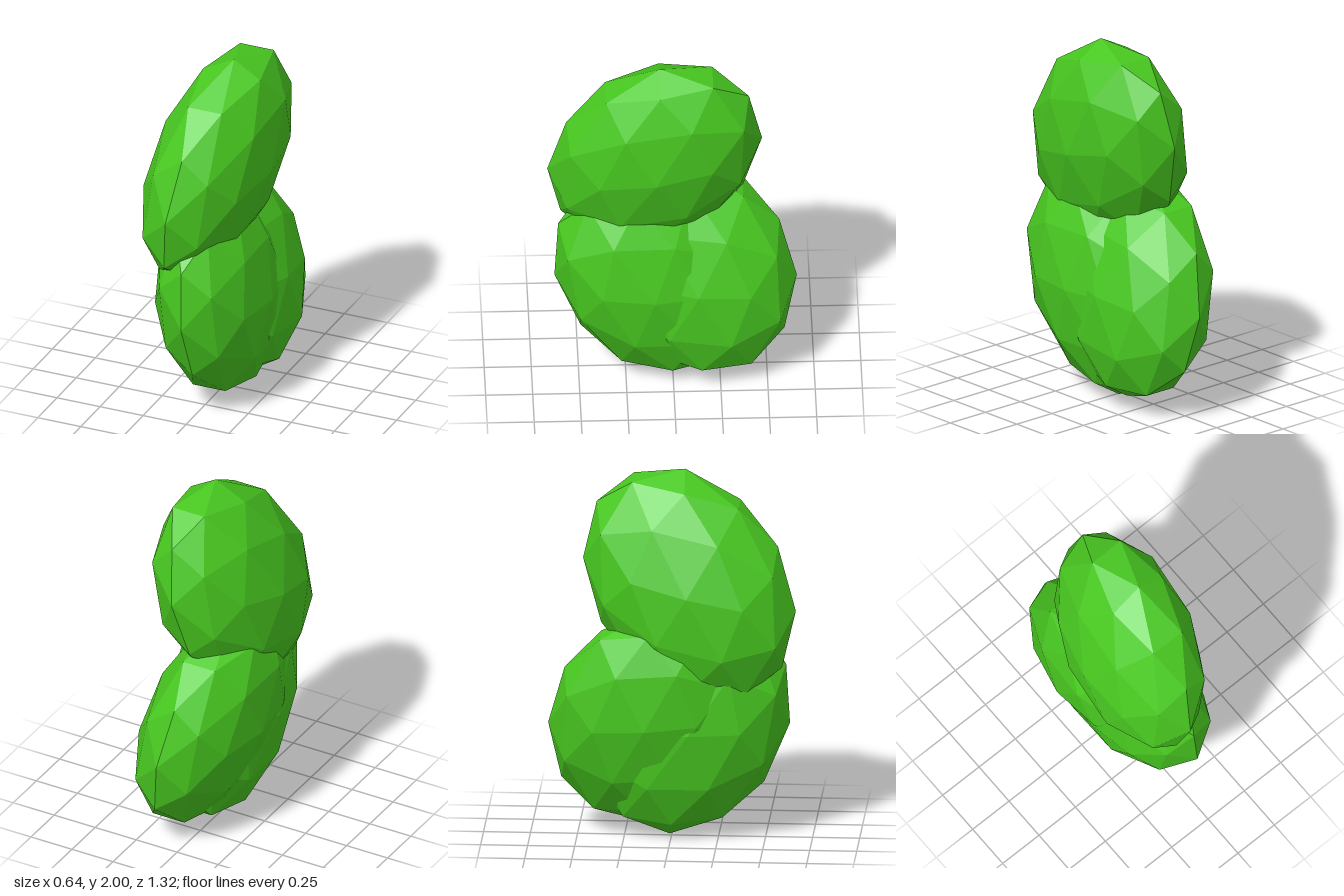
import * as THREE from 'three';

// Each lobe is a faceted, flattened ball. 'turn' rolls its facets about x,
// 'size' holds half-extents, 'lean' is how far its top shifts in x and z,
// 'skew' shifts x along its depth.
const LOBES = [
  { name: 'upperLobe', at: [0, 1.388, 0.095], turn: 0.2, size: [0.315, 0.624, 0.552], lean: [0.095, -0.139], skew: -0.031 },
  { name: 'lowerFrontLobe', at: [0.018, 0.624, 0.1], turn: 0, size: [0.303, 0.624, 0.528], lean: [-0.012, 0.112], skew: 0.01 },
  { name: 'lowerBackLobe', at: [0, 0.65, -0.13], turn: -0.08, size: [0.312, 0.606, 0.525], lean: [-0.104, 0.066], skew: -0.03 },
];

function makeLobe({ name, at, turn, size, lean, skew }, material) {
  const geometry = new THREE.IcosahedronGeometry(1, 1).rotateX(turn);
  geometry.applyMatrix4(new THREE.Matrix4().set(
    size[0], lean[0], skew, 0,
    0, size[1], 0, 0,
    0, lean[1], size[2], 0,
    0, 0, 0, 1,
  ));
  geometry.computeVertexNormals();
  const lobe = new THREE.Mesh(geometry, material);
  lobe.name = name;
  lobe.position.set(...at);
  return lobe;
}

export function createModel() {
  const leafGreen = new THREE.MeshStandardMaterial({ color: 0x48c820, flatShading: true });
  leafGreen.name = 'leafGreen';
  const plant = new THREE.Group();
  plant.name = 'lobedPlant';
  for (const lobe of LOBES) plant.add(makeLobe(lobe, leafGreen));
  return plant;
}
